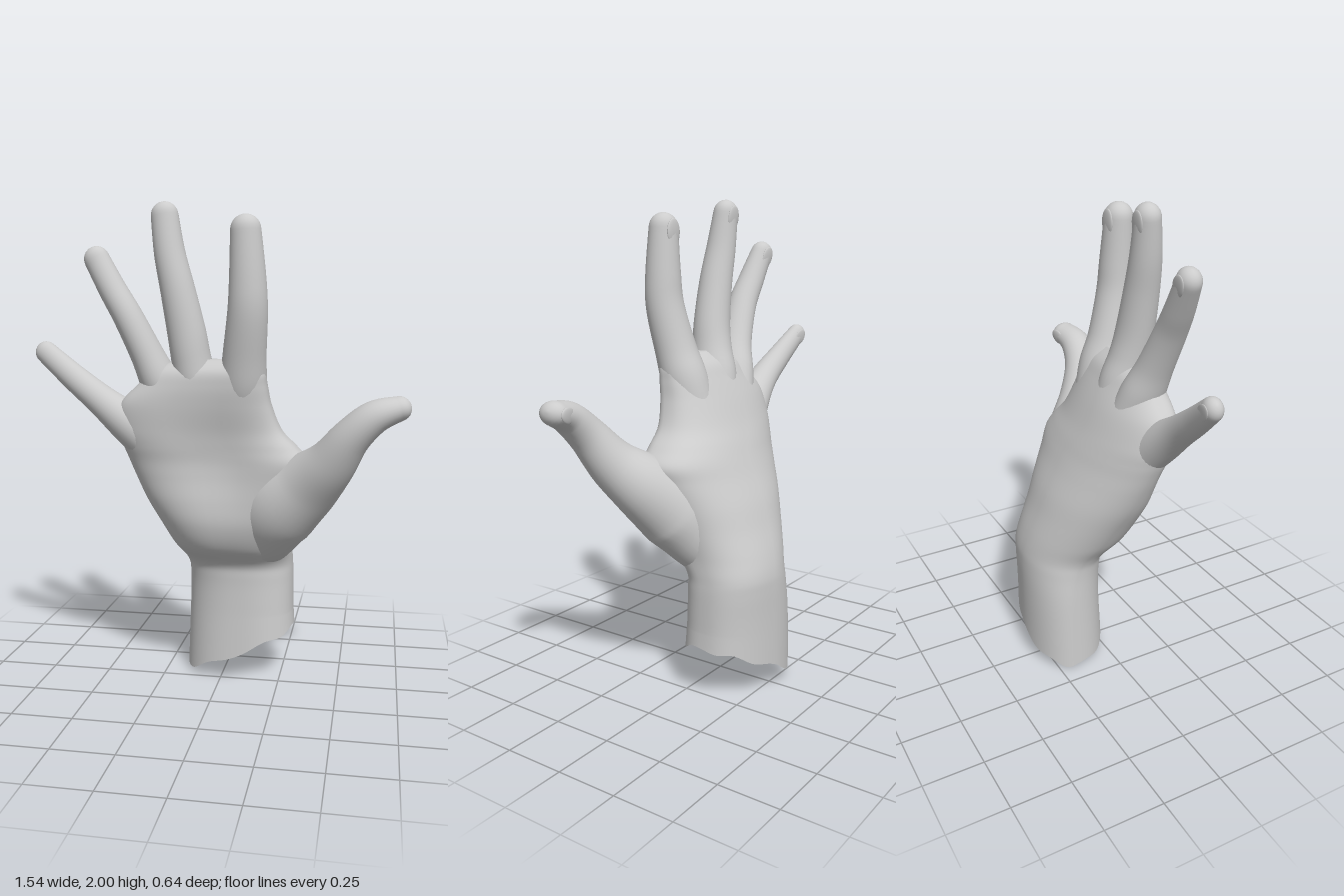
import * as THREE from 'three';

const skin = new THREE.MeshStandardMaterial({ color: 0xcccccc, side: THREE.DoubleSide });

// Smooth interpolation through rows of numbers, t from 0 to 1
function sample(keys, t) {
  const last = keys.length - 1;
  const i = Math.min(Math.floor(t * last), last - 1);
  const f = t * last - i;
  const [a, b, c, d] = [-1, 0, 1, 2].map((o) => keys[Math.min(Math.max(i + o, 0), last)]);
  return b.map((p, k) => p + 0.5 * f * (c[k] - a[k]
    + f * (2 * a[k] - 5 * p + 4 * c[k] - d[k] + f * (3 * (p - c[k]) + d[k] - a[k]))));
}

// Skin over equal-sized rings of points, closed at the far end only
function loft(rings) {
  const n = rings[0].length;
  const pos = rings.flat().flatMap((p) => [p.x, p.y, p.z]);
  const index = [];
  for (let i = 0; i < rings.length - 1; i++) {
    for (let j = 0; j < n; j++) {
      const k = (j + 1) % n;
      const a = i * n + j, b = i * n + k, c = b + n, d = a + n;
      index.push(a, b, c, a, c, d);
    }
  }
  const end = rings[rings.length - 1];
  const mid = end.reduce((s, p) => s.add(p), new THREE.Vector3()).divideScalar(n);
  const base = (rings.length - 1) * n;
  pos.push(mid.x, mid.y, mid.z);
  for (let j = 0; j < n; j++) index.push(base + j, base + (j + 1) % n, base + n);
  const geo = new THREE.BufferGeometry();
  geo.setAttribute('position', new THREE.Float32BufferAttribute(pos, 3));
  geo.setIndex(index);
  geo.computeVertexNormals();
  return geo;
}

function part(name, geo) {
  const mesh = new THREE.Mesh(geo, skin);
  mesh.name = name;
  return mesh;
}

// Finger from rows of x, y, z, half width, half depth; the last row is the centre of the round tip
function digit(name, keys) {
  const group = new THREE.Group();
  group.name = name;
  const centre = (t) => new THREE.Vector3(...sample(keys, t));
  const rings = [];
  const steps = 42, sides = 28;
  let c, t, u, v, ru, rv;
  const ring = (shift, scale) => {
    const points = [];
    for (let j = 0; j < sides; j++) {
      const a = (j / sides) * Math.PI * 2;
      points.push(c.clone().addScaledVector(t, shift)
        .addScaledVector(u, Math.cos(a) * ru * scale)
        .addScaledVector(v, Math.sin(a) * rv * scale));
    }
    rings.push(points);
  };
  for (let i = 0; i <= steps; i++) {
    const s = i / steps;
    c = centre(s);
    t = centre(Math.min(s + 0.02, 1)).sub(centre(Math.max(s - 0.02, 0))).normalize();
    v = new THREE.Vector3(0, 0, 1).addScaledVector(t, -t.z).normalize();
    u = new THREE.Vector3().crossVectors(v, t);
    [ru, rv] = sample(keys, s).slice(3);
    ring(0, 1);
  }
  for (let i = 1; i <= 6; i++) {
    const a = (i / 6.5) * Math.PI / 2;
    ring(ru * Math.sin(a), Math.cos(a));
  }
  group.add(part(name + 'Flesh', loft(rings)));

  // Nail lying almost flush in the back of the tip
  const nail = part(name + 'Nail', new THREE.SphereGeometry(1, 20, 12));
  nail.geometry.scale(ru * 0.66, ru * 0.9, rv * 0.16);
  nail.geometry.applyMatrix4(new THREE.Matrix4().makeBasis(u, t, v.clone().negate()));
  nail.position.copy(c).addScaledVector(v, -rv * 0.87).addScaledVector(t, -ru * 0.3);
  group.add(nail);
  return group;
}

// Forearm stump and palm: y, left x, right x, z of both edges, back z, front z
const palmKeys = [
  [0, -0.17, 0.305, -0.18, -0.13, -0.315, 0.035],
  [0.3, -0.16, 0.3, -0.18, -0.13, -0.315, 0.025],
  [0.45, -0.155, 0.298, -0.16, -0.13, -0.315, 0.025],
  [0.52, -0.165, 0.295, -0.13, -0.12, -0.31, 0.04],
  [0.6, -0.21, 0.295, -0.08, -0.08, -0.29, 0.12],
  [0.7, -0.26, 0.31, -0.04, -0.03, -0.255, 0.17],
  [0.8, -0.31, 0.335, 0, 0.015, -0.22, 0.19],
  [0.9, -0.35, 0.365, 0.03, 0.055, -0.175, 0.195],
  [0.97, -0.375, 0.38, 0.05, 0.075, -0.145, 0.195],
  [1.03, -0.395, 0.33, 0.065, 0.075, -0.12, 0.195],
  [1.1, -0.41, 0.265, 0.08, 0.08, -0.088, 0.195],
  [1.2, -0.395, 0.225, 0.095, 0.095, -0.045, 0.2],
  [1.28, -0.32, 0.21, 0.1, 0.11, -0.005, 0.2],
  [1.34, -0.255, 0.198, 0.105, 0.125, 0.03, 0.19],
  [1.385, -0.15, 0.15, 0.11, 0.13, 0.085, 0.15],
];

function palm() {
  const rings = [];
  const steps = 98, sides = 64;
  for (let i = 0; i <= steps; i++) {
    const [y, xl, xr, zl, zr, zb, zf] = sample(palmKeys, i / steps);
    // The front grows squarer towards the knuckles; the back slopes off to the little finger
    const frontPower = 0.82 - 0.2 * THREE.MathUtils.smoothstep(y, 0.9, 1.25);
    const ring = [];
    for (let j = 0; j < sides; j++) {
      const a = (j / sides) * Math.PI * 2;
      const ca = Math.cos(a), sa = Math.sin(a);
      const power = sa > 0 ? frontPower : ca > 0 ? 1.05 : 0.85;
      const across = Math.sign(ca) * Math.abs(ca) ** power;
      const depth = Math.sign(sa) * Math.abs(sa) ** power;
      const x = (xl + xr) / 2 - across * (xr - xl) / 2;
      const mid = (zl + zr) / 2;
      let z = mid - across * (zr - zl) / 2 + depth * (depth > 0 ? zf - mid : mid - zb);
      // Hollow of the palm
      if (depth > 0) z -= 0.055 * depth * Math.exp(-((x - 0.02) ** 2) / 0.035 - (y - 0.95) ** 2 / 0.05);
      // Slanted, slightly ragged cut at the bottom
      const cut = Math.max(0, 0.01 + 0.46 * (x + 0.17) + 0.008 * Math.sin(a * 7));
      ring.push(new THREE.Vector3(x, y < 0.3 ? cut + (y / 0.3) * (0.3 - cut) : y, z));
    }
    rings.push(ring);
  }
  return part('palmAndWrist', loft(rings));
}

// Each base starts deep in the palm so that it surfaces at a shallow angle
const digits = {
  thumb: [
    [0.15, 0.52, -0.11, 0.08, 0.07], [0.19, 0.64, -0.03, 0.13, 0.125], [0.25, 0.77, 0.045, 0.165, 0.15],
    [0.37, 0.885, 0.112, 0.135, 0.124], [0.465, 0.985, 0.185, 0.1, 0.098],
    [0.545, 1.1, 0.235, 0.076, 0.08], [0.63, 1.18, 0.25, 0.064, 0.07], [0.72, 1.213, 0.235, 0.048, 0.058],
  ],
  indexFinger: [
    [0.07, 1, -0.01, 0.07, 0.07], [0.095, 1.15, 0.055, 0.085, 0.085], [0.11, 1.28, 0.1, 0.094, 0.095],
    [0.12, 1.4, 0.137, 0.087, 0.084], [0.137, 1.57, 0.175, 0.079, 0.077],
    [0.138, 1.7, 0.183, 0.072, 0.071], [0.13, 1.88, 0.185, 0.06, 0.058],
  ],
  middleFinger: [
    [-0.03, 1, -0.01, 0.07, 0.07], [-0.06, 1.15, 0.05, 0.08, 0.085], [-0.083, 1.28, 0.09, 0.087, 0.098],
    [-0.1, 1.39, 0.112, 0.08, 0.086], [-0.117, 1.5, 0.123, 0.077, 0.077],
    [-0.15, 1.66, 0.127, 0.069, 0.07], [-0.182, 1.8, 0.122, 0.062, 0.062], [-0.203, 1.945, 0.113, 0.055, 0.05],
  ],
  ringFinger: [
    [-0.12, 1, -0.01, 0.07, 0.07], [-0.18, 1.15, 0.05, 0.075, 0.085], [-0.23, 1.28, 0.092, 0.079, 0.092],
    [-0.28, 1.4, 0.115, 0.067, 0.076], [-0.353, 1.55, 0.128, 0.06, 0.065],
    [-0.418, 1.66, 0.122, 0.056, 0.057], [-0.485, 1.78, 0.11, 0.052, 0.046],
  ],
  littleFinger: [
    [-0.18, 0.9, 0, 0.08, 0.07], [-0.275, 1.02, 0.06, 0.085, 0.085], [-0.37, 1.12, 0.092, 0.082, 0.086],
    [-0.485, 1.214, 0.098, 0.064, 0.066], [-0.6, 1.302, 0.085, 0.055, 0.051],
    [-0.727, 1.404, 0.062, 0.046, 0.038],
  ],
};

export function createModel() {
  const hand = new THREE.Group();
  hand.name = 'hand';
  hand.add(palm());
  for (const [name, keys] of Object.entries(digits)) hand.add(digit(name, keys));
  return hand;
}
